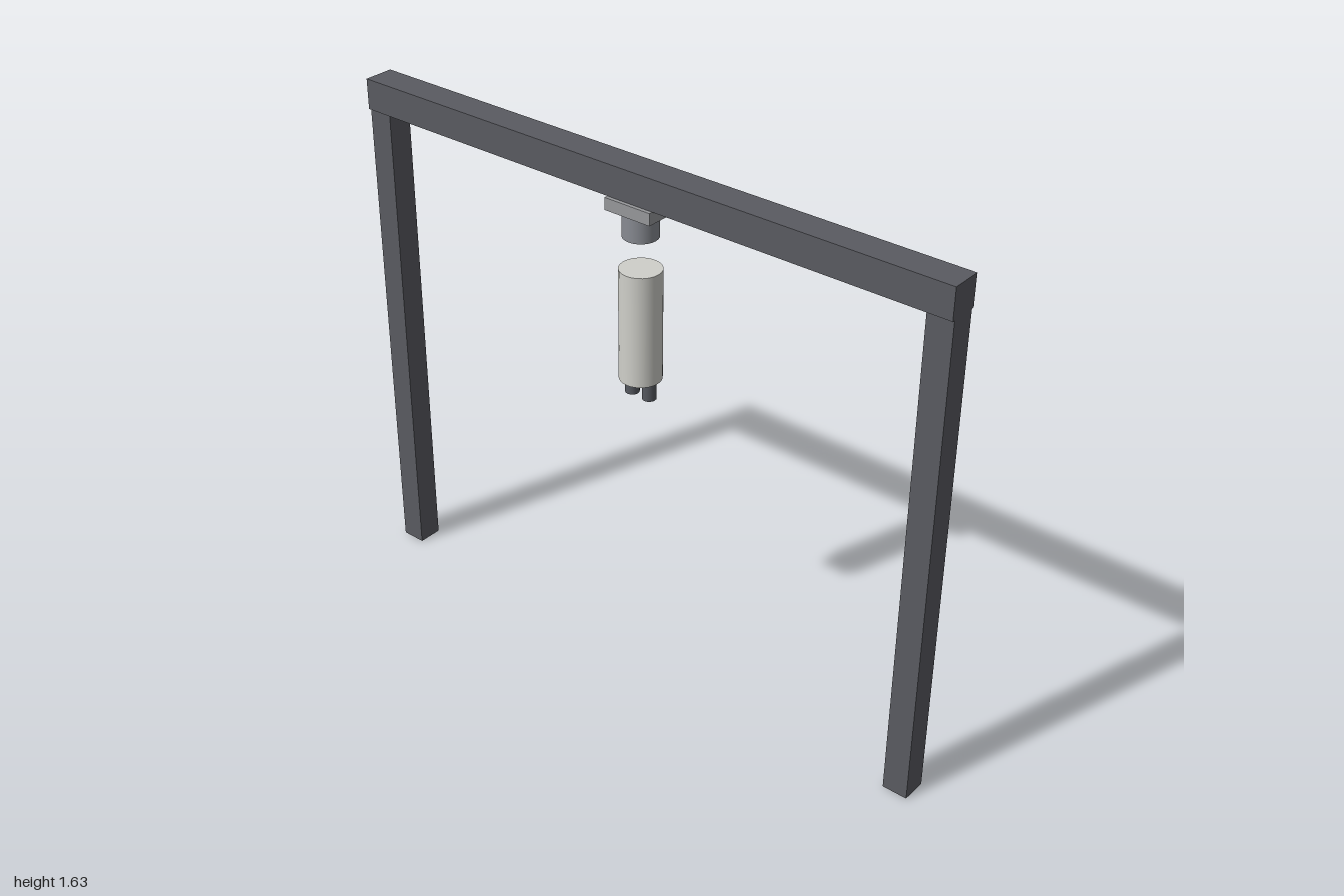
import * as THREE from 'three';

const paint = (name, color) => {
  const m = new THREE.MeshStandardMaterial({ color });
  m.name = name;
  return m;
};

export function createModel() {
  const model = new THREE.Group();
  model.name = 'gantryFrame';

  const darkSteel = paint('dark steel', 0x5a5b61);
  const plateGrey = paint('plate grey', 0x97989b);
  const socketGrey = paint('socket grey', 0x888b92);
  const offWhite = paint('off white', 0xd0d0ca);
  const nozzleGrey = paint('nozzle grey', 0x55585f);

  const add = (name, geometry, material, x, y) => {
    const mesh = new THREE.Mesh(geometry, material);
    mesh.name = name;
    mesh.position.set(x, y, 0);
    model.add(mesh);
  };
  const box = (name, material, w, d, bottom, top, x = 0) =>
    add(name, new THREE.BoxGeometry(w, top - bottom, d), material, x, (bottom + top) / 2);
  const cylinder = (name, material, r, bottom, top, x = 0, sides = 24) =>
    add(name, new THREE.CylinderGeometry(r, r, top - bottom, sides), material, x, (bottom + top) / 2);

  // Frame: two posts carrying a slightly deeper beam
  box('crossBeam', darkSteel, 2, 0.094, 1.532, 1.626);
  for (const side of [-1, 1]) {
    box(side > 0 ? 'leftPost' : 'rightPost', darkSteel, 0.078, 0.078, 0, 1.532, side * 0.961);
  }

  // Mount under the middle of the beam
  box('mountPlate', plateGrey, 0.156, 0.117, 1.495, 1.532);
  cylinder('mountSocket', socketGrey, 0.052, 1.42, 1.495);

  // Free-hanging canister with two outlets below
  cylinder('canister', offWhite, 0.0625, 0.977, 1.322);
  for (const side of [-1, 1]) {
    cylinder(side > 0 ? 'leftOutlet' : 'rightOutlet', nozzleGrey, 0.021, 0.918, 0.977, side * 0.031, 16);
  }

  return model;
}
